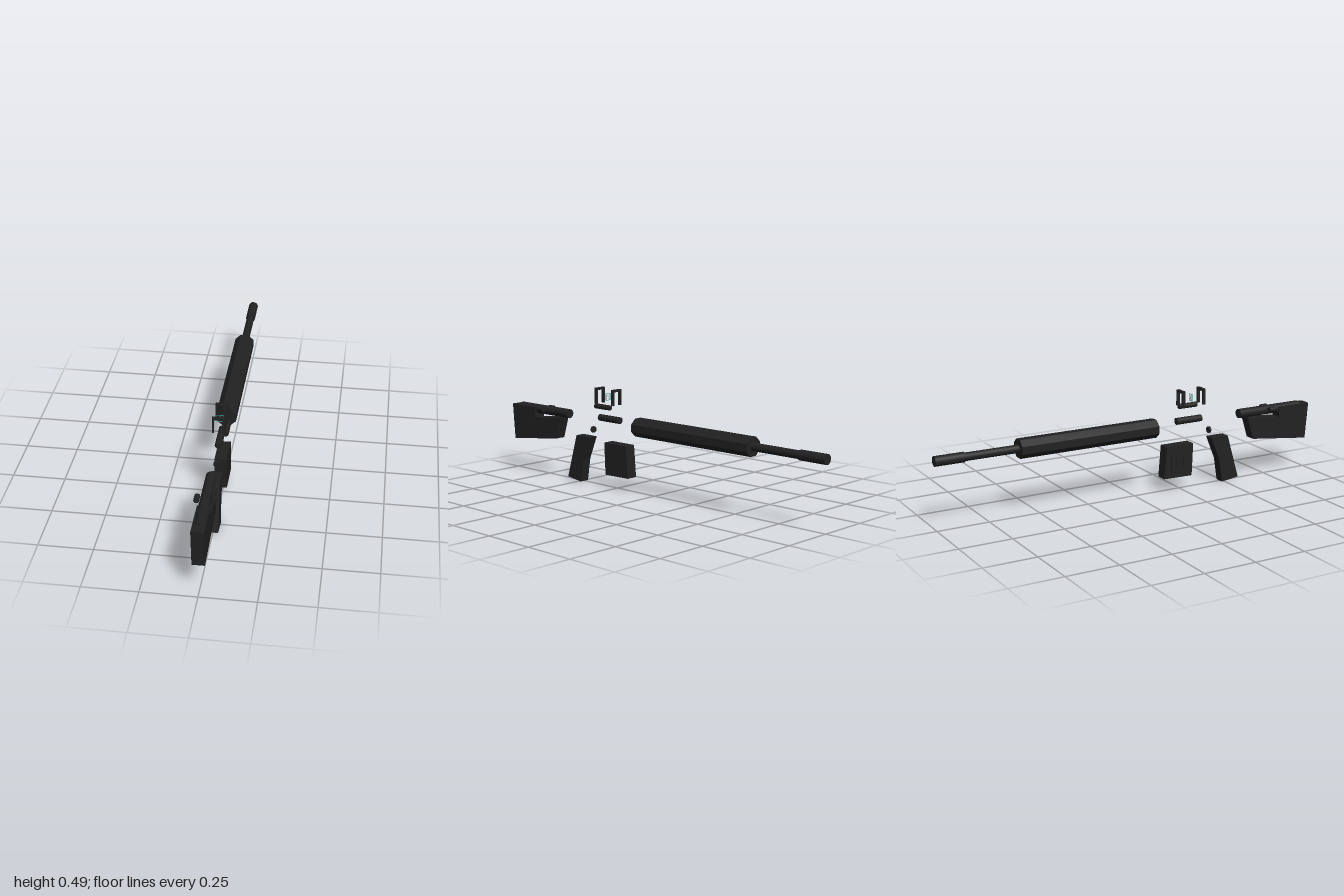
import * as THREE from 'three';

export function createModel() {
  const root = new THREE.Group();
  const black = new THREE.MeshStandardMaterial({ color: 0x222222 });
  black.name = 'matte black';
  const teal = new THREE.MeshStandardMaterial({ color: 0x1f9a8c });
  teal.name = 'teal';
  const grey = new THREE.MeshStandardMaterial({ color: 0x7f98a8 });
  grey.name = 'blue grey';

  const add = (name, geo, mat, x = 0, y = 0, z = 0, parent = root) => {
    const m = new THREE.Mesh(geo, mat);
    m.name = name;
    m.position.set(x, y, z);
    parent.add(m);
    return m;
  };
  const group = (name) => {
    const g = new THREE.Group();
    g.name = name;
    root.add(g);
    return g;
  };
  // Round bar running along z between z0 and z1
  const bar = (name, r, z0, z1, x, y, parent) =>
    add(name, new THREE.CylinderGeometry(r, r, Math.abs(z1 - z0), 20).rotateX(Math.PI / 2),
      black, x, y, (z0 + z1) / 2, parent);
  // Side profile given as [z, y] points, extruded across x
  const slab = (name, pts, width, x = 0) => {
    const shape = new THREE.Shape(pts.map(([z, y]) => new THREE.Vector2(-z, y)));
    const geo = new THREE.ExtrudeGeometry(shape, { depth: width, bevelEnabled: false });
    geo.translate(0, 0, -width / 2).rotateY(Math.PI / 2);
    return add(name, geo, black, x);
  };
  const box = (name, w, h, d, mat, x, y, z, parent) =>
    add(name, new THREE.BoxGeometry(w, h, d), mat, x, y, z, parent);

  // Handguard: eight-sided prism with flats on top and sides
  const guard = new THREE.CylinderGeometry(0.0487, 0.0487, 0.71, 8).toNonIndexed();
  guard.rotateY(Math.PI / 8).rotateX(Math.PI / 2).scale(1.02, 0.96, 1);
  guard.computeVertexNormals();
  add('handguard', guard, black, 0, 0.323, -0.245);

  // Barrel and muzzle
  bar('barrel', 0.019, -0.59, -0.87, 0, 0.323);
  bar('muzzle', 0.0235, -0.86, -1, 0, 0.323);

  // Stock with its tube and side knobs
  slab('stock', [[1, 0.342], [0.985, 0.16], [0.665, 0.198], [0.63, 0.31],
    [0.82, 0.29], [0.82, 0.342]], 0.056, 0.001);
  bar('stockTube', 0.023, 0.95, 0.59, 0, 0.331);
  for (const s of [-1, 1]) bar('stockKnob', 0.0125, 0.785, 0.75, s * 0.036, 0.338);

  // Grip and trigger button
  slab('grip', [[0.515, 0.235], [0.58, 0.015], [0.487, 0.002], [0.468, 0.118],
    [0.42, 0.235]], 0.049, 0.0015);
  bar('triggerButton', 0.016, 0.423, 0.413, 0, 0.273);

  // Magazine with raised ribs on its right face
  slab('magazine', [[0.312, 0.225], [0.305, 0.065], [0.15, 0.068], [0.163, 0.225]], 0.056, 0.001);
  const ribs = group('magazineRibs');
  for (const k of [0.042, 0.026, 0.01]) {
    for (const s of [-1, 1]) {
      box('rib', 0.004, 0.006, k * 2, black, -0.028, 0.139 + s * k, 0.232, ribs);
      box('rib', 0.004, k * 2 + 0.006, 0.006, black, -0.028, 0.139, 0.232 + s * k, ribs);
    }
  }

  // Bolt and charging handle
  bar('bolt', 0.0165, 0.37, 0.23, 0, 0.339);
  bar('chargingHandle', 0.0125, 0.365, 0.265, 0.033, 0.401);

  // Sight: two arches open at the bottom
  for (const z of [0.371, 0.256]) {
    const arch = group('sightArch');
    box('archTop', 0.056, 0.011, 0.016, black, 0.001, 0.4825, z, arch);
    for (const s of [-1, 1])
      box('archLeg', 0.008, 0.077, 0.016, black, 0.001 + s * 0.024, 0.4495, z, arch);
  }

  // Reticle: thin frame with a fine grid inside
  const reticle = group('reticle');
  const cy = 0.447, cz = 0.313, half = 0.016;
  for (const s of [-1, 1]) {
    box('reticleFrame', half * 2 + 0.002, 0.002, 0.002, teal, 0.001, cy + s * half, cz, reticle);
    box('reticleFrame', 0.002, half * 2 + 0.002, 0.002, teal, 0.001 + s * half, cy, cz, reticle);
  }
  for (const k of [-0.008, 0, 0.008]) {
    box('reticleLine', half * 2, 0.001, 0.001, grey, 0.001, cy + k, cz, reticle);
    box('reticleLine', 0.001, half * 2, 0.001, grey, 0.001 + k, cy, cz, reticle);
  }
  return root;
}
